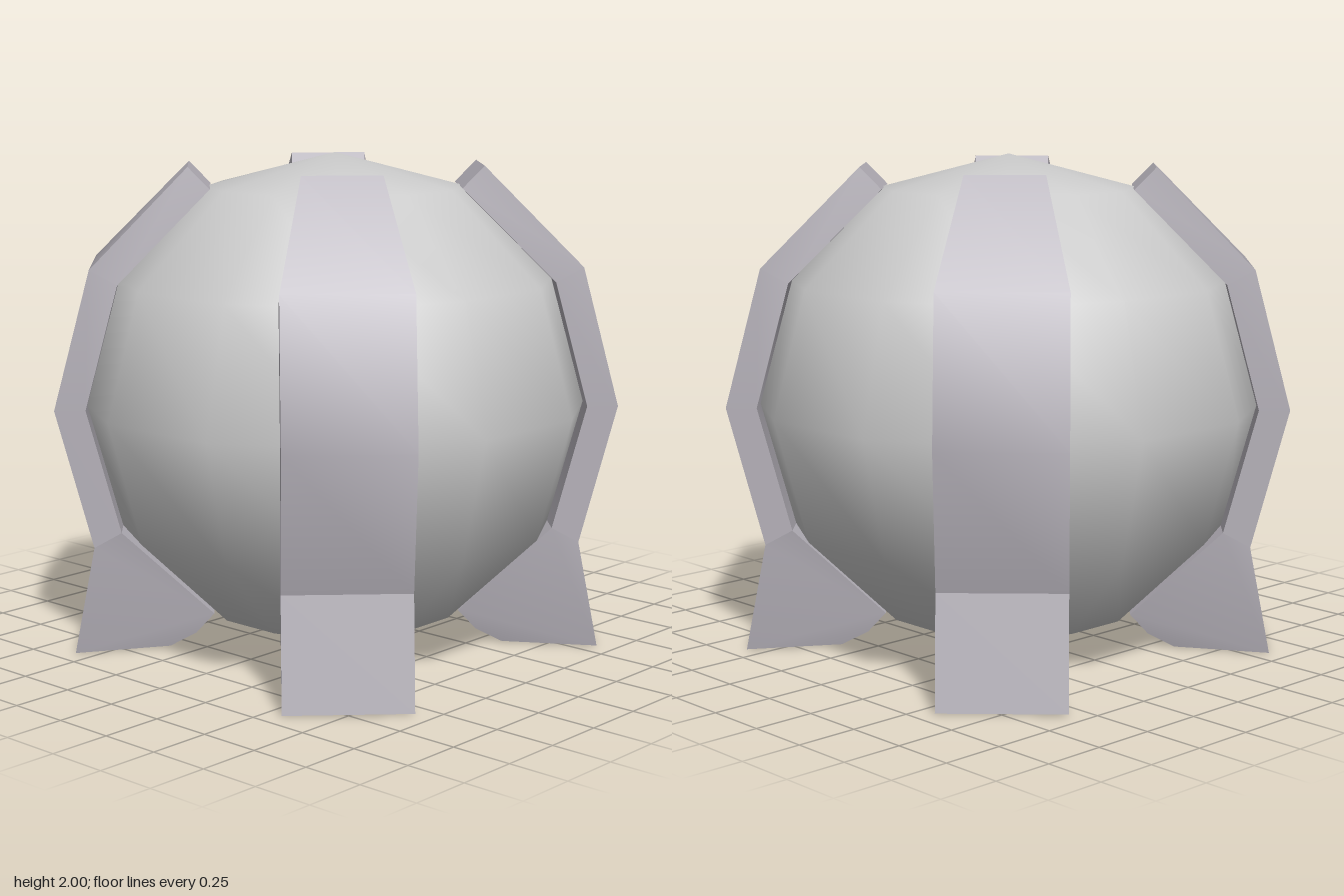
import * as THREE from 'three';
import { mergeGeometries, toCreasedNormals } from 'three/addons/utils/BufferGeometryUtils.js';

const WIDE = 0.2475, SLIM = 0.155; // half widths of a brace

// Each section: inner [radius, height, half width], outer [radius, height, half width]
const upperSections = [
  [[0.5, 1.866, SLIM], [0.587, 1.955, SLIM]],
  [[0.866, 1.5, WIDE], [0.976, 1.56, WIDE]],
  [[1, 1, WIDE], [1.124, 1, WIDE]],
  [[0.866, 0.5, WIDE], [0.976, 0.44, WIDE]],
];
const footTip = [1.06, 0.003, WIDE];
const footSections = [
  upperSections[3],
  [[0.5, 0.134, SLIM], footTip],
  [[0.573, 0.055, SLIM], footTip],
  [[0.68, 0.003, 0.165], footTip],
];

// Skin a run of four-cornered sections, with optional end caps
function loft(sections, capTop, capBottom, crease) {
  const rings = sections.map(([inner, outer]) => [
    new THREE.Vector3(inner[0], inner[1], -inner[2]),
    new THREE.Vector3(outer[0], outer[1], -outer[2]),
    new THREE.Vector3(outer[0], outer[1], outer[2]),
    new THREE.Vector3(inner[0], inner[1], inner[2]),
  ]);
  const points = [];
  const triangle = (a, b, c) => {
    if (new THREE.Triangle(a, b, c).getArea() > 1e-6) points.push(a, b, c);
  };
  const quad = (a, b, c, d) => {
    triangle(a, b, c);
    triangle(a, c, d);
  };
  for (let s = 0; s < rings.length - 1; s++) {
    const a = rings[s], b = rings[s + 1];
    for (let i = 0; i < 4; i++) {
      const j = (i + 1) % 4;
      quad(a[j], b[j], b[i], a[i]);
    }
  }
  if (capTop) {
    const r = rings[0];
    quad(r[0], r[3], r[2], r[1]);
  }
  if (capBottom) quad(...rings[rings.length - 1]);
  const geometry = new THREE.BufferGeometry().setFromPoints(points);
  geometry.computeVertexNormals();
  return toCreasedNormals(geometry, crease);
}

export function createModel() {
  const model = new THREE.Group();
  model.name = 'bracedSphere';

  // Twelve-sided ball, turned so that a flat side faces each axis
  const ball = new THREE.Mesh(
    new THREE.SphereGeometry(1 / Math.cos(Math.PI / 12), 12, 6),
    new THREE.MeshStandardMaterial({ color: 0xcccccc })
  );
  ball.name = 'ball';
  ball.scale.y = Math.cos(Math.PI / 12);
  ball.position.y = 1;
  ball.rotation.y = Math.PI / 12;
  model.add(ball);

  // Four curved braces on the diagonals, each ending in a flared foot
  const braceGeometry = mergeGeometries([
    loft(upperSections, true, false, 0.65),
    loft(footSections, false, true, 0.35),
  ]);
  const braceMaterial = new THREE.MeshStandardMaterial({ color: 0xb4b0b8 });
  const names = ['backLeftBrace', 'backRightBrace', 'frontRightBrace', 'frontLeftBrace'];
  names.forEach((name, k) => {
    const brace = new THREE.Mesh(braceGeometry, braceMaterial);
    brace.name = name;
    brace.rotation.y = Math.PI / 4 + k * Math.PI / 2;
    model.add(brace);
  });

  return model;
}
